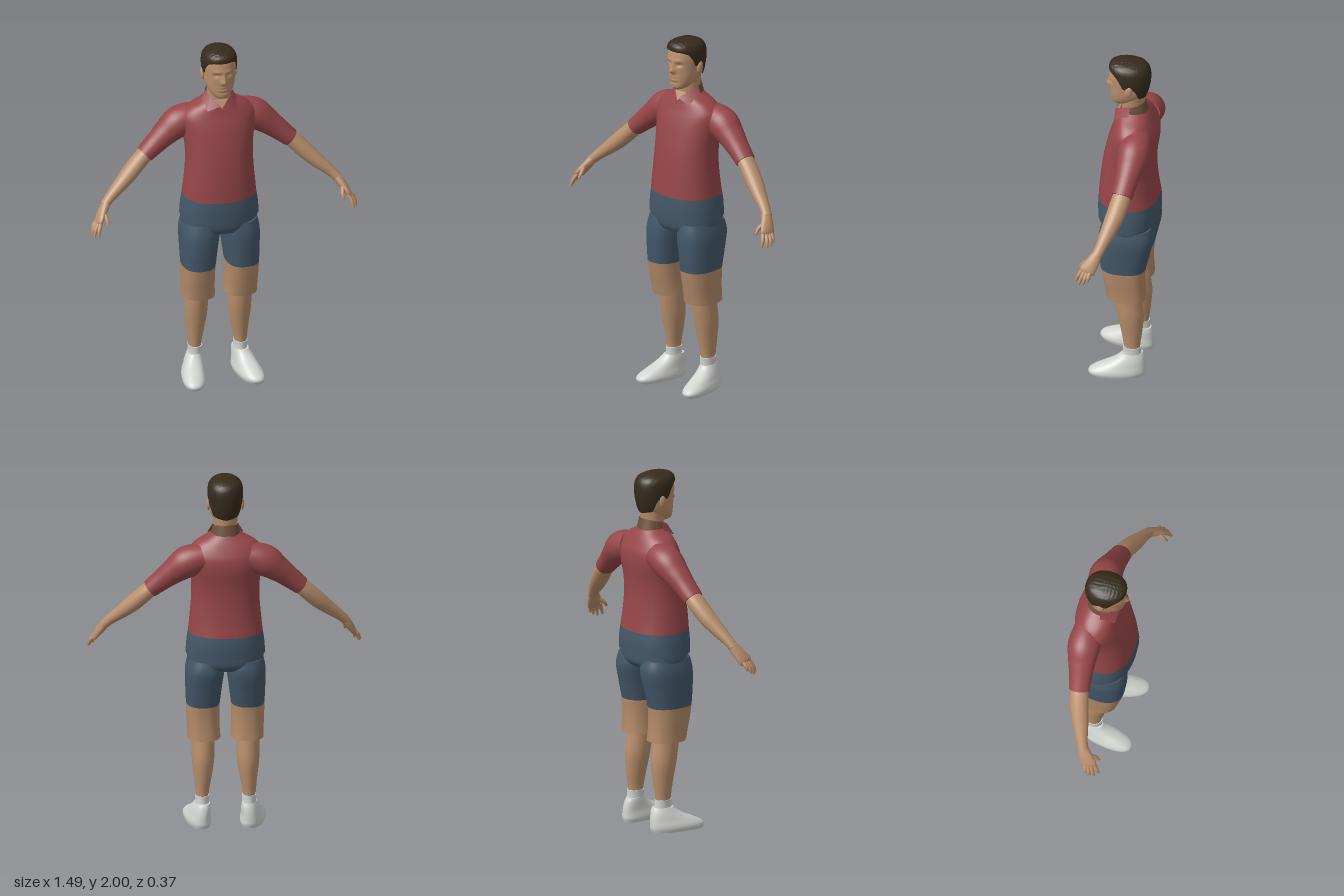
import * as THREE from 'three';

const mat = (name, color) => Object.assign(new THREE.MeshStandardMaterial({ color }), { name });
const V = (x, y, z) => new THREE.Vector3(x, y, z);

// Closed tube-like surface: fn(s, angle) gives a point, s runs from 0 to sMax; both ends are capped.
function surface(fn, sMax, rows, segs) {
  const pos = [], idx = [];
  const ring = s => {
    for (let j = 0; j < segs; j++) pos.push(...fn(s, (j / segs) * Math.PI * 2).toArray());
  };
  for (let i = 0; i <= rows; i++) ring((sMax * i) / rows);
  for (let i = 0; i < rows; i++) {
    for (let j = 0; j < segs; j++) {
      const a = i * segs + j, b = i * segs + ((j + 1) % segs);
      idx.push(a, b, b + segs, a, b + segs, a + segs);
    }
  }
  for (const end of [0, 1]) {
    const start = pos.length / 3, c = V(0, 0, 0);
    ring(end * sMax);
    for (let j = 0; j < segs; j++) c.add(V().fromArray(pos, (start + j) * 3));
    pos.push(...c.divideScalar(segs).toArray());
    for (let j = 0; j < segs; j++) {
      const a = start + j, b = start + ((j + 1) % segs);
      idx.push(start + segs, ...(end ? [a, b] : [b, a]));
    }
  }
  const g = new THREE.BufferGeometry();
  g.setAttribute('position', new THREE.Float32BufferAttribute(pos, 3));
  g.setIndex(idx);
  g.computeVertexNormals();
  return g;
}

// Smooth interpolation of a table of cross-sections at index s.
function at(rows, s) {
  const last = rows.length - 1, i = Math.min(Math.floor(s), last - 1), t = s - i;
  const row = k => rows[Math.max(0, Math.min(last, k))];
  return rows[0].map((_, c) => {
    const [p0, p1, p2, p3] = [row(i - 1)[c], row(i)[c], row(i + 1)[c], row(i + 2)[c]];
    return p1 + 0.5 * t * (p2 - p0 + t * (2 * p0 - 5 * p1 + 4 * p2 - p3 + t * (3 * (p1 - p2) + p3 - p0)));
  });
}

// Point on a level rounded section [y, centre x, half width, front z, back z].
function levelPoint([y, cx, rx, zf, zb], a, n) {
  const pw = v => Math.sign(v) * Math.abs(v) ** (2 / n);
  return V(cx + rx * pw(Math.cos(a)), y, (zf + zb) / 2 - ((zf - zb) / 2) * pw(Math.sin(a)));
}

const loft = (rows, n = 2.2, segs = 40, sub = 5, rule = p => p) =>
  surface((s, a) => rule(levelPoint(at(rows, s), a, n)), rows.length - 1, (rows.length - 1) * sub, segs);

// Limb along a path of [x, y, z, thickness radius, depth radius].
function limb(rows, segs = 24, sub = 5) {
  const last = rows.length - 1;
  const frame = s => {
    const r = at(rows, s);
    const d = V(...at(rows, Math.min(last, s + 0.05))).sub(V(...at(rows, Math.max(0, s - 0.05)))).normalize();
    const u = V(0, 0, 1).addScaledVector(d, -d.z).normalize();
    return { r, u, v: d.clone().cross(u) };
  };
  return surface((s, a) => {
    const { r, u, v } = frame(s);
    return V(r[0], r[1], r[2]).addScaledVector(u, Math.cos(a) * r[4]).addScaledVector(v, Math.sin(a) * r[3]);
  }, last, last * sub, segs);
}

function mirrored(geo) {
  const g = geo.clone(), ix = g.index.array;
  g.scale(-1, 1, 1);
  for (let i = 0; i < ix.length; i += 3) [ix[i + 1], ix[i + 2]] = [ix[i + 2], ix[i + 1]];
  g.computeVertexNormals();
  return g;
}

export function createModel() {
  const skin = mat('skin', 0xb98f6c), red = mat('red cloth', 0x964648), blue = mat('slate cloth', 0x435768);
  const tan = mat('tan cloth', 0xb28a68), white = mat('white', 0xd2d4d0), hairMat = mat('dark hair', 0x362b1c);
  const brown = mat('brown collar', 0x6b513b);
  red.side = brown.side = THREE.DoubleSide;

  const model = new THREE.Group();
  model.name = 'standingMan';
  const add = (name, geo, m) => {
    const mesh = new THREE.Mesh(geo, m);
    mesh.name = name;
    model.add(mesh);
  };
  const addPair = (name, geo, m) => {
    add(name + 'Left', geo, m);
    add(name + 'Right', mirrored(geo), m);
  };

  // Shirt body and its lower band
  add('shirtBody', loft([
    [1.12, 0, 0.203, 0.155, -0.178], [1.2, 0, 0.195, 0.15, -0.166], [1.3, 0, 0.187, 0.14, -0.158],
    [1.4, 0, 0.187, 0.125, -0.16], [1.5, 0, 0.2, 0.103, -0.173], [1.56, 0, 0.208, 0.085, -0.17],
    [1.6, 0, 0.2, 0.07, -0.155], [1.64, 0, 0.162, 0.057, -0.135], [1.67, 0, 0.11, 0.048, -0.117],
    [1.695, 0, 0.068, 0.035, -0.1]], 2.25, 56), red);
  add('shirtBand', loft([
    [0.995, 0, 0.217, 0.157, -0.181], [1.06, 0, 0.212, 0.158, -0.183], [1.12, 0, 0.203, 0.155, -0.178]], 2.25, 56), blue);

  // Sleeves, forearms and hands
  addPair('sleeve', limb([
    [0.12, 1.565, -0.075, 0.075, 0.08], [0.21, 1.535, -0.075, 0.088, 0.09], [0.28, 1.485, -0.067, 0.072, 0.077],
    [0.34, 1.435, -0.057, 0.06, 0.065], [0.41, 1.375, -0.045, 0.05, 0.058]], 32), red);
  addPair('forearm', limb([
    [0.37, 1.41, -0.05, 0.04, 0.046], [0.43, 1.355, -0.04, 0.045, 0.052], [0.5, 1.285, -0.018, 0.045, 0.05],
    [0.56, 1.23, 0.006, 0.038, 0.042], [0.62, 1.178, 0.03, 0.029, 0.032], [0.658, 1.14, 0.048, 0.025, 0.03]]), skin);
  addPair('palm', limb([
    [0.645, 1.153, 0.043, 0.024, 0.028], [0.675, 1.11, 0.066, 0.023, 0.038],
    [0.7, 1.07, 0.09, 0.018, 0.044], [0.708, 1.055, 0.097, 0.01, 0.036]]), skin);
  const fingers = {
    indexFinger: [[0.692, 1.075, 0.115], [0.71, 1.035, 0.138], [0.715, 1.0, 0.152]],
    middleFinger: [[0.7, 1.07, 0.102], [0.725, 1.03, 0.12], [0.735, 0.992, 0.132]],
    ringFinger: [[0.705, 1.065, 0.088], [0.732, 1.03, 0.1], [0.741, 1.0, 0.108]],
    littleFinger: [[0.705, 1.065, 0.073], [0.73, 1.04, 0.08], [0.738, 1.016, 0.084]],
    thumb: [[0.672, 1.115, 0.085], [0.662, 1.085, 0.122], [0.662, 1.058, 0.142]],
  };
  for (const [name, path] of Object.entries(fingers))
    addPair(name, limb(path.map((p, i) => [...p, [0.012, 0.011, 0.006][i], [0.012, 0.011, 0.006][i]]), 10, 4), skin);

  // Shorts with tan lower legs
  add('shortsSeat', loft([
    [0.915, 0, 0.17, 0.12, -0.14], [0.95, 0, 0.207, 0.137, -0.166], [1.03, 0, 0.206, 0.142, -0.168]], 2.3), blue);
  addPair('shortsLeg', loft([
    [0.97, 0.104, 0.1, 0.125, -0.152], [0.9, 0.112, 0.107, 0.137, -0.165],
    [0.8, 0.118, 0.1, 0.135, -0.145], [0.7, 0.122, 0.092, 0.126, -0.123]].reverse(), 2.4), blue);
  addPair('shortsCuff', loft([
    [0.507, 0.118, 0.091, 0.09, -0.125], [0.56, 0.12, 0.089, 0.1, -0.121],
    [0.63, 0.122, 0.09, 0.114, -0.119], [0.7, 0.122, 0.092, 0.126, -0.123]], 2.4), tan);

  // Lower legs, socks and shoes
  addPair('calf', loft([
    [0.13, 0.128, 0.034, -0.005, -0.09], [0.2, 0.128, 0.037, 0, -0.094], [0.28, 0.125, 0.048, 0.014, -0.104],
    [0.38, 0.123, 0.061, 0.034, -0.111], [0.48, 0.122, 0.063, 0.05, -0.1], [0.56, 0.122, 0.065, 0.055, -0.09]], 2, 28), skin);
  addPair('sock', loft([
    [0.09, 0.128, 0.042, 0.008, -0.105], [0.14, 0.128, 0.038, 0.003, -0.099], [0.178, 0.128, 0.039, 0.003, -0.097]], 2, 28), white);
  const toeOut = p => { p.x += 0.15 * (p.z - 0.03); return p; };
  addPair('shoe', loft([
    [0, 0.152, 0.062, 0.175, -0.118], [0.02, 0.152, 0.068, 0.186, -0.125], [0.04, 0.152, 0.066, 0.172, -0.125],
    [0.065, 0.15, 0.058, 0.125, -0.124], [0.09, 0.147, 0.052, 0.068, -0.121], [0.115, 0.143, 0.046, 0.028, -0.115],
    [0.135, 0.14, 0.04, 0.008, -0.106]], 2.3, 36, 4, toeOut), white);

  // Neck and head, with the face pushed in and out by soft bumps
  add('neck', loft([
    [1.64, 0, 0.066, 0.03, -0.092], [1.7, 0, 0.063, 0.034, -0.092],
    [1.74, 0, 0.064, 0.036, -0.093], [1.82, 0, 0.07, 0.03, -0.1]], 2, 32), skin);
  const bump = (dx, dy, wx, wy) => Math.exp(-((dx / wx) ** 2) - (dy / wy) ** 2);
  const face = p => {
    if (p.z < 0.02) return p;
    const x = Math.abs(p.x), y = p.y;
    p.z += 0.026 * bump(x, y - 1.832, 0.014, 0.016) + 0.014 * bump(x, y - 1.858, 0.01, 0.022)
      + 0.005 * bump(x - 0.03, y - 1.893, 0.03, 0.01) - 0.011 * bump(x - 0.036, y - 1.87, 0.017, 0.01)
      + 0.007 * bump(x, y - 1.787, 0.026, 0.017) - 0.007 * bump(x, y - 1.787, 0.026, 0.004)
      - 0.004 * bump(x, y - 1.765, 0.03, 0.006);
    return p;
  };
  add('head', loft([
    [1.722, 0, 0.026, 0.076, 0.005], [1.735, 0, 0.046, 0.089, -0.02], [1.76, 0, 0.066, 0.092, -0.065],
    [1.8, 0, 0.081, 0.093, -0.1], [1.85, 0, 0.087, 0.096, -0.115], [1.9, 0, 0.09, 0.099, -0.12],
    [1.94, 0, 0.087, 0.093, -0.113], [1.965, 0, 0.074, 0.08, -0.095], [1.985, 0, 0.045, 0.05, -0.06]], 2.15, 72, 8, face), skin);
  const ear = new THREE.SphereGeometry(1, 16, 12).scale(0.011, 0.036, 0.021).rotateX(-0.2).translate(0.092, 1.845, -0.02);
  addPair('ear', ear, skin);

  // Hair shell: its lower edge follows the hairline, measured by angle from the front
  const hairRows = [
    [1.77, 0, 0.073, 0.08, -0.101], [1.81, 0, 0.086, 0.09, -0.114], [1.86, 0, 0.093, 0.1, -0.125],
    [1.91, 0, 0.097, 0.102, -0.128], [1.95, 0, 0.094, 0.104, -0.122], [1.975, 0, 0.08, 0.098, -0.105],
    [1.991, 0, 0.054, 0.074, -0.07], [1.998, 0, 0.022, 0.035, -0.025], [2, 0, 0.001, 0.006, 0.004]];
  const hairline = [[0, 1.95], [0.6, 1.948], [0.95, 1.935], [1.2, 1.9], [1.4, 1.855], [1.6, 1.865], [1.9, 1.855], [2.2, 1.79], [3.2, 1.775]];
  const lineAt = f => {
    const i = hairline.findIndex(h => h[0] >= f), [a, b] = [hairline[Math.max(0, i - 1)], hairline[Math.max(1, i)]];
    return THREE.MathUtils.mapLinear(f, a[0], b[0], a[1], b[1]);
  };
  add('hair', surface((s, a) => {
    const front = Math.acos(THREE.MathUtils.clamp(-Math.sin(a), -1, 1));
    const y = THREE.MathUtils.lerp(lineAt(front), 2, 1 - (1 - s) ** 2);
    const i = Math.min(hairRows.length - 2, Math.max(0, hairRows.findIndex(r => r[0] > y) - 1));
    const k = y >= 2 ? hairRows.length - 1 : i + (y - hairRows[i][0]) / (hairRows[i + 1][0] - hairRows[i][0]);
    const p = levelPoint(at(hairRows, k), a, 2.15);
    p.y = y - 0.003 * (s > 0.3 ? Math.sin(p.x * 150) ** 2 * Math.sin(p.z * 150) ** 2 : 0);
    return p;
  }, 1, 28, 64), hairMat);

  // Collar: brown stand around the nape, red points and open throat in front
  const stand = new THREE.CylinderGeometry(0.069, 0.083, 0.062, 32, 1, true, 1.25, Math.PI * 2 - 2.5);
  const sp = stand.attributes.position;
  for (let i = 0; i < sp.count; i++) sp.setY(i, sp.getY(i) - 0.25 * sp.getZ(i));
  stand.translate(0, 1.698, -0.03).computeVertexNormals();
  add('collarStand', stand, brown);
  const panel = (points, index) => {
    const g = new THREE.BufferGeometry();
    g.setAttribute('position', new THREE.Float32BufferAttribute(points.flat(), 3));
    g.setIndex(index);
    g.computeVertexNormals();
    return g;
  };
  addPair('collarPoint', panel([
    [0.07, 1.735, -0.025], [0.098, 1.685, -0.02], [0.082, 1.645, 0.062], [0.01, 1.672, 0.068], [0.055, 1.708, 0.03]],
    [0, 4, 1, 1, 4, 2, 4, 3, 2]), red);
  add('openThroat', panel([[-0.04, 1.7, 0.036], [0, 1.652, 0.062], [0.04, 1.7, 0.036]], [0, 1, 2]), skin);

  return model;
}
